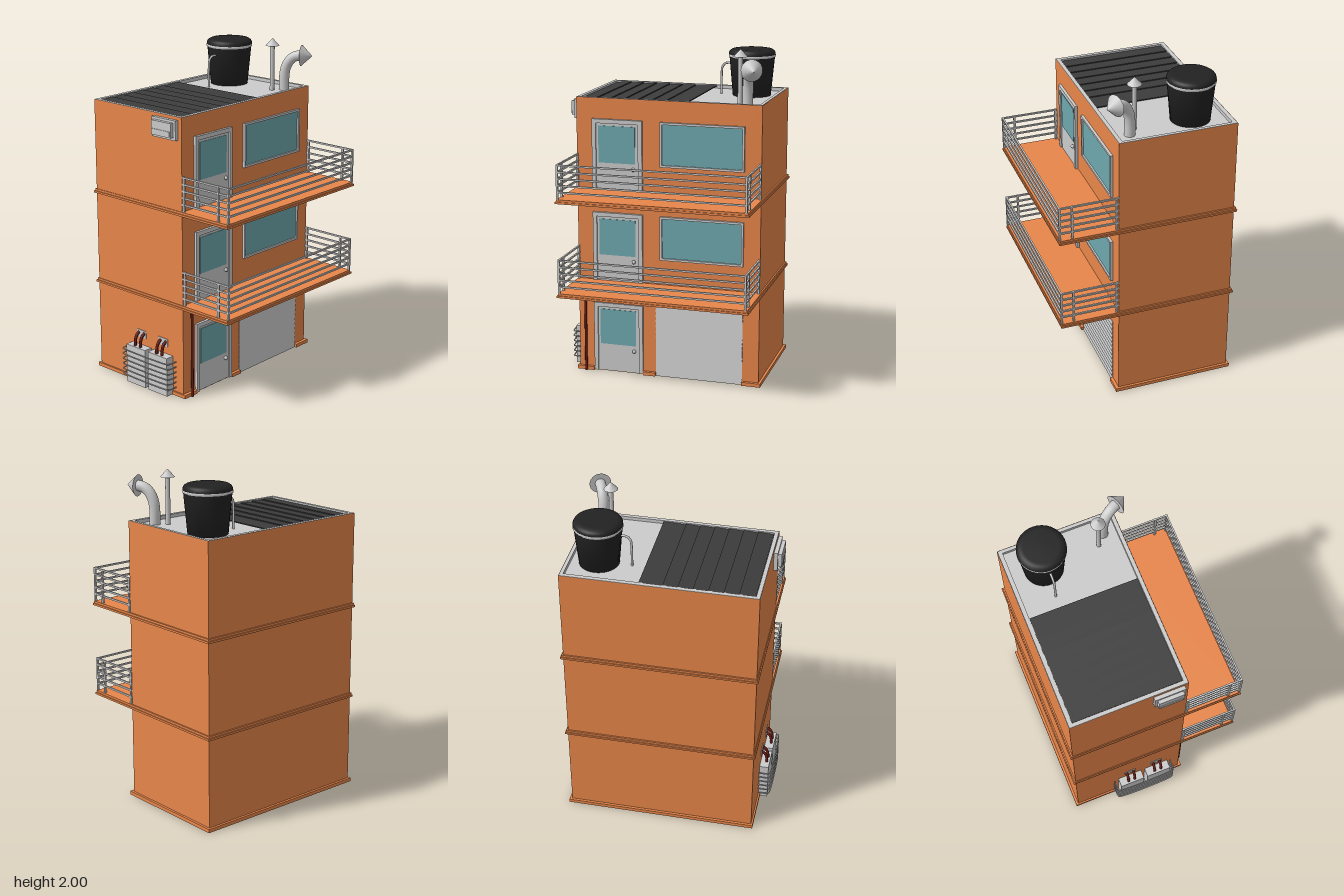
import * as THREE from 'three';

const mat = (color, opts = {}) => new THREE.MeshStandardMaterial({ color, ...opts });

export function createModel() {
  const root = new THREE.Group();
  const grey = mat(0xcccccc);
  const greyOpen = mat(0xcccccc, { side: THREE.DoubleSide });
  const orange = mat(0xe8864a);
  const orangeOpen = mat(0xe8864a, { side: THREE.DoubleSide });
  const glass = mat(0x6ea8ae);
  const black = mat(0x222222);
  const dark = mat(0x3c3c3c);
  const maroon = mat(0x6a1c14);

  const group = (name, parent = root) => {
    const g = new THREE.Group();
    g.name = name;
    parent.add(g);
    return g;
  };
  const add = (parent, name, geo, material, x = 0, y = 0, z = 0) => {
    const m = new THREE.Mesh(geo, material);
    m.name = name;
    m.position.set(x, y, z);
    parent.add(m);
    return m;
  };
  // Box given by its limits on each axis
  const box = (parent, name, [x0, x1], [y0, y1], [z0, z1], material) =>
    add(parent, name, new THREE.BoxGeometry(x1 - x0, y1 - y0, z1 - z0), material,
      (x0 + x1) / 2, (y0 + y1) / 2, (z0 + z1) / 2);
  // Tube through points, with rounded or straight path
  const tube = (parent, name, pts, r, material, seg = 16, sides = 8) => {
    const curve = new THREE.CatmullRomCurve3(pts.map(p => new THREE.Vector3(...p)), false, 'centripetal');
    return add(parent, name, new THREE.TubeGeometry(curve, seg, r, sides), material);
  };
  // Horizontal rectangular ring: outer and inner are [x0, x1, z0, z1]
  const ring = (parent, name, outer, inner, y0, y1, material) => {
    const rect = (P, [x0, x1, z0, z1]) => new P([[x0, -z0], [x0, -z1], [x1, -z1], [x1, -z0]]
      .map(p => new THREE.Vector2(...p)));
    const s = rect(THREE.Shape, outer);
    s.holes.push(rect(THREE.Path, inner));
    const g = new THREE.ExtrudeGeometry(s, { depth: y1 - y0, bevelEnabled: false });
    g.rotateX(-Math.PI / 2);
    return add(parent, name, g, material, 0, y0, 0);
  };

  const X0 = -0.525, X1 = 0.18, Z0 = -0.595, Z1 = 0.537, TOP = 1.7;
  const body = [X0, X1, Z0, Z1];

  // Hollow wall shell, open at the bottom
  const walls = group('walls');
  for (const [name, w, x, z, ry] of [
    ['frontWall', X1 - X0, (X0 + X1) / 2, Z1, 0],
    ['backWall', X1 - X0, (X0 + X1) / 2, Z0, Math.PI],
    ['leftWall', Z1 - Z0, X1, (Z0 + Z1) / 2, Math.PI / 2],
    ['rightWall', Z1 - Z0, X0, (Z0 + Z1) / 2, -Math.PI / 2],
  ]) add(walls, name, new THREE.PlaneGeometry(w, TOP), orangeOpen, x, TOP / 2, z).rotation.y = ry;

  // Base trim, broken at the door and the garage
  const base = group('baseTrim');
  const by = [0, 0.022];
  box(base, 'trimRight', [-0.54, X0 + 0.02], by, [-0.61, 0.547], orange);
  box(base, 'trimFront', [X0 + 0.02, 0.2], by, [Z1 - 0.02, 0.547], orange);
  box(base, 'trimBack', [X0 + 0.02, 0.2], by, [-0.61, Z0 + 0.02], orange);
  for (const z of [[0.437, Z1 - 0.02], [0.047, 0.125], [Z0 + 0.02, -0.495]])
    box(base, 'trimLeft', [X1 - 0.02, 0.2], by, z, orange);

  // Doors and windows on the left wall
  const frame = (parent, name, y0, y1, z0, z1, t, x1) => {
    box(parent, name + 'Side', [X1, x1], [y0, y1], [z0, z0 + t], grey);
    box(parent, name + 'Side', [X1, x1], [y0, y1], [z1 - t, z1], grey);
    box(parent, name + 'Top', [X1, x1], [y1 - t, y1], [z0 + t, z1 - t], grey);
  };
  for (let i = 0; i < 3; i++) {
    const y = i * 0.568, door = group('door');
    root.add(door);
    frame(door, 'doorFrame', y + 0.005 + (i ? 0.012 : 0), y + 0.44, 0.125, 0.437, 0.025, 0.197);
    box(door, 'doorLeaf', [X1, 0.188], [y + 0.006, y + 0.416], [0.15, 0.412], grey);
    box(door, 'doorGlass', [X1, 0.191], [y + 0.177, y + 0.4], [0.17, 0.398], glass);
    add(door, 'doorKnob', new THREE.SphereGeometry(0.012, 12, 8), grey, 0.196, y + 0.145, 0.18);
    if (!i) continue;
    const win = group('window');
    frame(win, 'windowFrame', y + 0.17, y + 0.438, -0.495, 0.016, 0.013, 0.196);
    box(win, 'windowSill', [X1, 0.196], [y + 0.17, y + 0.183], [-0.482, 0.003], grey);
    box(win, 'windowGlass', [X1, 0.186], [y + 0.183, y + 0.425], [-0.482, 0.003], glass);
  }

  // Garage shutter of tilted slats
  const shutter = group('garageShutter');
  const slats = 14, sh = 0.44 / slats;
  for (let i = 0; i < slats; i++)
    add(shutter, 'shutterSlat', new THREE.BoxGeometry(0.005, sh, 0.54), grey,
      0.183, (i + 0.5) * sh, -0.225).rotation.z = 0.12;

  // Floor bands that widen into balconies, with railings
  for (const y of [0.558, 1.127]) {
    const b = group('balcony');
    ring(b, 'floorBand', [-0.54, 0.535, -0.61, 0.547], body, y, y + 0.012, orange);
    ring(b, 'floorBandUpper', [-0.534, 0.529, -0.604, 0.541], body, y + 0.012, y + 0.025, orange);
    const f = y + 0.025, h = 0.208, r = 0.005, zs = [-0.592, 0.532], xr = 0.528;
    for (const z of zs)
      for (const x of [0.192, 0.455, xr])
        box(b, 'railPost', [x - 0.006, x + 0.006], [f, f + h], [z - 0.006, z + 0.006], grey);
    for (let i = 0; i < 5; i++) {
      const ry = f + h - r - i * 0.04;
      for (const z of zs)
        box(b, 'endRail', [X1, xr], [ry - r, ry + r], [z - r, z + r], grey);
      box(b, 'longRail', [xr - r, xr + r], [ry - r, ry + r], zs, grey);
    }
  }

  // Roof floor, rim and overlapping dark panels
  const roof = group('roof');
  box(roof, 'roofFloor', [X0 + 0.003, X1 - 0.003], [1.66, 1.68], [Z0 + 0.003, Z1 - 0.003], grey);
  ring(roof, 'roofRim', [X0 + 0.002, X1 - 0.002, Z0 + 0.002, Z1 - 0.002],
    [-0.498, 0.155, -0.573, 0.512], 1.68, 1.701, grey);
  for (let i = 0; i < 7; i++)
    add(roof, 'roofPanel', new THREE.BoxGeometry(0.651, 0.006, i ? 0.092 : 0.14), dark,
      -0.172, 1.692, i ? 0.034 + (i - 1) * 0.0855 + 0.001 : -0.075).rotation.x = i ? 0.07 : 0.04;

  // Water tank with its pipe
  const tank = group('waterTank');
  const lathe = (name, pts, material) => add(tank, name,
    new THREE.LatheGeometry(pts.map(p => new THREE.Vector2(...p)), 32), material, -0.31, 0, -0.414);
  lathe('tankBody', [[0, 1.68], [0.115, 1.68], [0.137, 1.915]], black);
  lathe('tankBand', [[0.136, 1.914], [0.141, 1.914], [0.141, 1.928], [0.136, 1.928]], grey);
  lathe('tankLid', [[0.14, 1.927], [0.14, 1.938], [0.134, 1.95], [0.12, 1.959], [0.1, 1.962], [0, 1.963]], black);
  tube(tank, 'tankPipe', [[-0.31, 1.68, -0.225], [-0.31, 1.8, -0.225], [-0.31, 1.845, -0.23],
    [-0.31, 1.867, -0.25], [-0.31, 1.87, -0.3]], 0.007, grey);

  // Straight vent with a conical cap
  const vent = group('straightVent');
  add(vent, 'ventPipe', new THREE.CylinderGeometry(0.014, 0.014, 0.29, 16), grey, 0.03, 1.825, -0.425);
  add(vent, 'ventCap', new THREE.ConeGeometry(0.042, 0.045, 16), grey, 0.03, 1.9775, -0.425);

  // Bent vent with a cone on its end
  const bent = group('bentVent');
  const dir = new THREE.Vector3(0.91, 0, -0.41).normalize();
  const at = (d, y) => [0.078 + dir.x * d, y, -0.483 + dir.z * d];
  tube(bent, 'bentPipe', [at(0, 1.68), at(0, 1.76), at(0.008, 1.815), at(0.032, 1.862),
    at(0.068, 1.89), at(0.12, 1.897)], 0.031, greyOpen, 24, 20);
  const cap = add(bent, 'bentCap', new THREE.ConeGeometry(0.064, 0.068, 20), grey, ...at(0.14, 1.897));
  cap.quaternion.setFromUnitVectors(new THREE.Vector3(0, 1, 0), dir);

  // Wall cooling unit near the top of the front
  const cooler = group('wallCooler');
  box(cooler, 'coolerBack', [-0.03, 0.155], [1.567, 1.682], [Z1, 0.56], grey);
  box(cooler, 'coolerFace', [-0.014, 0.139], [1.584, 1.668], [0.56, 0.582], grey);
  box(cooler, 'coolerVent', [-0.005, 0.13], [1.592, 1.62], [0.582, 0.586], grey);

  // Ground units with pipes into the wall
  for (const x of [-0.163, 0.018]) {
    const u = group('groundUnit');
    box(u, 'unitCase', [x - 0.078, x + 0.078], [0, 0.243], [Z1, 0.592], grey);
    box(u, 'pipePlate', [x - 0.037, x + 0.037], [0.29, 0.338], [Z1, 0.541], grey);
    for (const s of [-0.022, 0.022])
      tube(u, 'unitPipe', [[x + s, 0.235, 0.573], [x + s, 0.275, 0.571], [x + s, 0.305, 0.56],
        [x + s, 0.322, 0.535]], 0.009, maroon);
  }

  // Guard bars around both ground units
  const guard = group('guardBars');
  for (let i = 0; i < 6; i++) {
    const y = 0.05 + i * 0.0325;
    tube(guard, 'guardBar', [[-0.268, y, Z1], [-0.268, y, 0.585], [-0.264, y, 0.6], [-0.248, y, 0.606],
      [0.098, y, 0.606], [0.114, y, 0.6], [0.119, y, 0.585], [0.119, y, Z1]], 0.004, grey, 48, 6);
  }

  // Drain pipe by the door
  add(root, 'drainPipe', new THREE.CylinderGeometry(0.008, 0.008, 0.56, 12), maroon, 0.206, 0.28, 0.488);

  return root;
}
